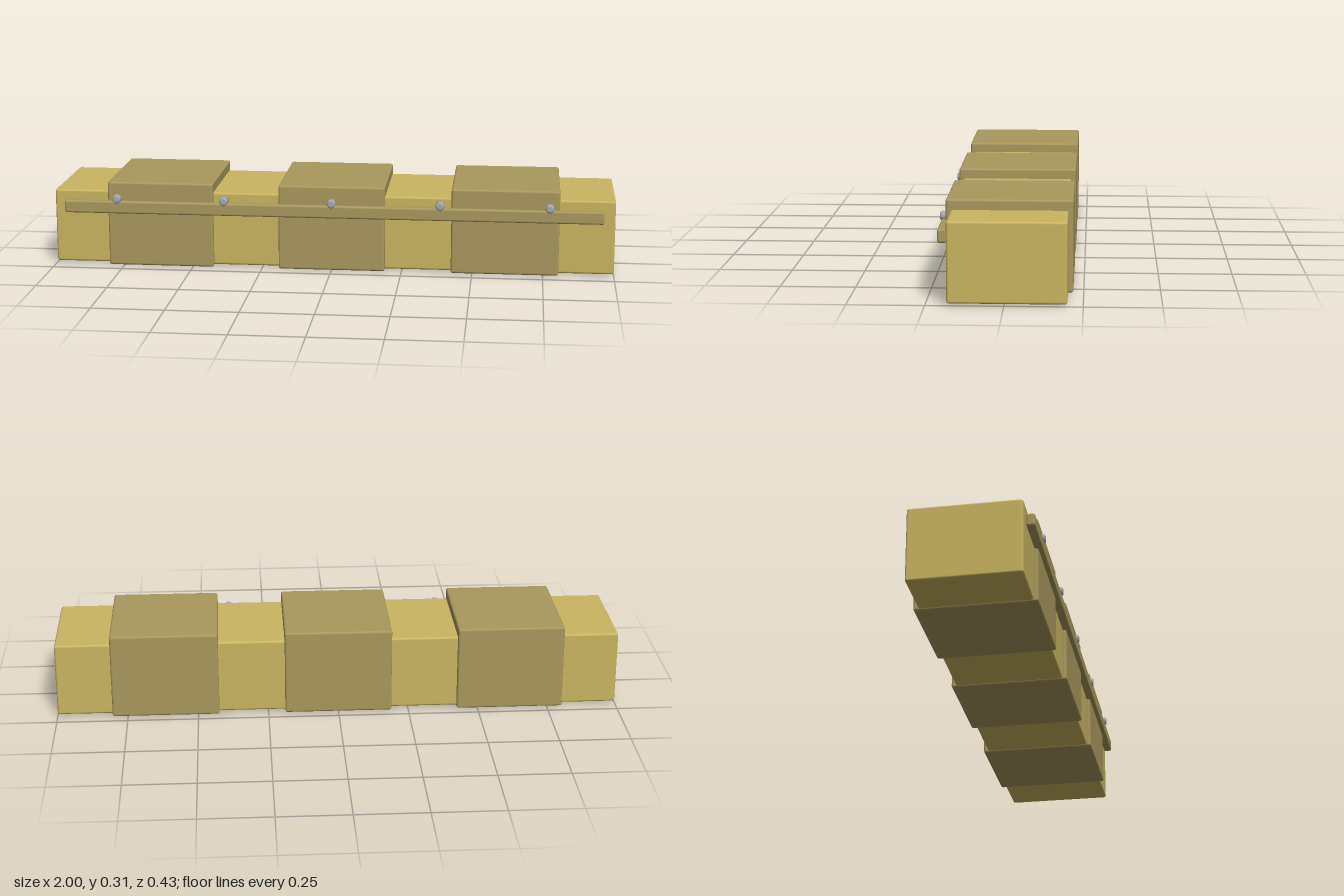
import * as THREE from 'three';
import { RoundedBoxGeometry } from 'three/addons/geometries/RoundedBoxGeometry.js';

const paint = (name, color) => {
  const m = new THREE.MeshStandardMaterial({ color });
  m.name = name;
  return m;
};

export function createModel() {
  const group = new THREE.Group();
  const sand = paint('sand', 0xc9b560);
  const khaki = paint('khaki', 0xa9985d);
  const steel = paint('steel', 0xa4a8b0);

  const add = (name, geometry, material, x, y, z) => {
    const mesh = new THREE.Mesh(geometry, material);
    mesh.name = name;
    mesh.position.set(x, y, z);
    group.add(mesh);
    return mesh;
  };
  // Rounded box given by its centre x, width and y / z limits
  const box = (name, material, x, width, [y0, y1], [z0, z1], radius) =>
    add(name, new RoundedBoxGeometry(width, y1 - y0, z1 - z0, 3, radius),
      material, x, (y0 + y1) / 2, (z0 + z1) / 2);

  // Long inner body
  box('body', sand, 0, 2, [0.007, 0.272], [-0.2, 0.182], 0.008);

  // Three wrapped sleeves
  for (const x of [-0.615, 0, 0.615])
    box('sleeve', khaki, x, 0.38, [0.001, 0.307], [-0.216, 0.198], 0.008);

  // Rail along the front
  box('rail', khaki, 0, 1.92, [0.194, 0.239], [0.184, 0.213], 0.007);

  // Round-edged studs above the rail, axis towards the front
  const r = 0.0155, edge = 0.007, half = 0.022;
  const profile = [new THREE.Vector2(0, -half), new THREE.Vector2(r, -half)];
  for (let i = 0; i <= 4; i++) {
    const a = (i / 4) * Math.PI / 2;
    profile.push(new THREE.Vector2(r - edge + edge * Math.cos(a), half - edge + edge * Math.sin(a)));
  }
  profile.push(new THREE.Vector2(0, half));
  const studGeometry = new THREE.LatheGeometry(profile, 20).rotateX(Math.PI / 2);
  for (const x of [-0.77, -0.385, 0, 0.385, 0.77])
    add('stud', studGeometry, steel, x, 0.247, 0.196);

  return group;
}
